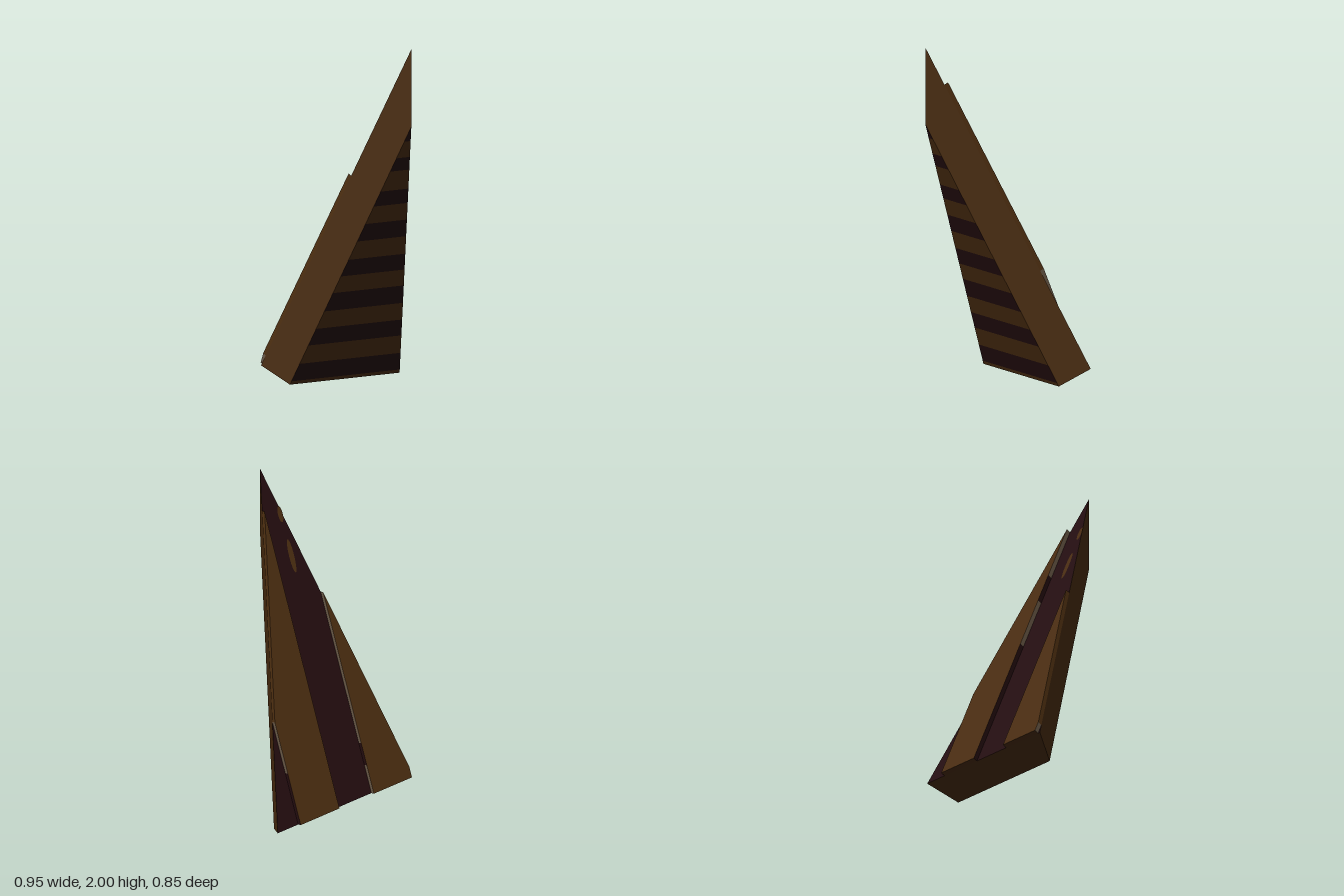
import * as THREE from 'three';

const mat = (name, color) => {
  const m = new THREE.MeshStandardMaterial({ color });
  m.name = name;
  return m;
};

// Flat faces from loops of corners, each loop anticlockwise seen from outside
function faces(name, material, loops) {
  const pos = [];
  for (const loop of loops) {
    for (let i = 1; i < loop.length - 1; i++) pos.push(...loop[0], ...loop[i], ...loop[i + 1]);
  }
  const geo = new THREE.BufferGeometry();
  geo.setAttribute('position', new THREE.Float32BufferAttribute(pos, 3));
  geo.computeVertexNormals();
  const mesh = new THREE.Mesh(geo, material);
  mesh.name = name;
  return mesh;
}

// Point on the sloping back: x across, t from base (0) to tip (1), h above the surface
const HALF = 0.475;
const onBack = (x, t, h = 0) => [x, 0.1 + 1.9 * t + 0.398 * h, -0.4 + 0.825 * t - 0.917 * h];
const edgeT = (x) => 1 - Math.abs(x) / HALF;

// Point on the sloping front at height y, side -1 or 1
const onFront = (side, y) => [side * 0.385 * (1 - y / 1.55), y, -0.24 + 0.665 * (y / 1.55)];

export function createModel() {
  const model = new THREE.Group();
  model.name = 'leaningWedge';
  const brown = mat('brown', 0x4b2d10);
  const dark = mat('darkMaroon', 0x240c0f);
  const grey = mat('greyBrown', 0x6b5a48);

  // Slab body
  const L = onBack(-HALF, 0), R = onBack(HALF, 0), tip = onBack(0, 1);
  const fl = onFront(-1, 0), fr = onFront(1, 0), frontTip = onFront(0, 1.55);
  model.add(faces('backPanel', dark, [[L, tip, R]]));
  model.add(faces('slabSides', brown, [
    [R, tip, frontTip, fr],
    [fl, frontTip, tip, L],
    [R, fr, fl, L],
  ]));

  // Cross bands on the front
  const levels = [0, 0.02, 0.125, 0.235, 0.335, 0.44, 0.55, 0.65, 0.75, 0.86, 0.965, 1.07, 1.16, 1.28, 1.36, 1.46, 1.55];
  const bands = [[], []];
  for (let i = 0; i < levels.length - 1; i++) {
    const [a, b] = [levels[i], levels[i + 1]];
    bands[i % 2].push([onFront(-1, a), onFront(1, a), onFront(1, b), onFront(-1, b)]);
  }
  model.add(faces('brownBands', brown, bands[0]), faces('darkBands', dark, bands[1]));

  // Raised planks on the back; the cut sides change colour at the given fractions
  const H = 0.027;
  function plank(name, x0, x1, cuts0, cuts1) {
    const group = new THREE.Group();
    group.name = name;
    const t0 = edgeT(x0), t1 = edgeT(x1);
    const outline = [[x0, 0], [x0, t0], [x1, t1], [x1, 0]];
    const wall = (a, b) => [onBack(...b, H), onBack(...a, H), onBack(...a), onBack(...b)];
    group.add(faces('plankBoard', brown, [
      outline.map((p) => onBack(...p, H)),
      wall(outline[1], outline[2]),
      wall(outline[3], outline[0]),
    ]));
    const sides = { dark: [], grey: [] };
    const cutSide = (x, top, cuts, up) => {
      for (let i = 0; i < cuts.length - 1; i++) {
        const a = [x, top * cuts[i]], b = [x, top * cuts[i + 1]];
        // Counting down from the top, the pieces go grey, dark, grey
        const shade = (cuts.length - 2 - i) % 2 ? 'dark' : 'grey';
        sides[shade].push(up ? wall(a, b) : wall(b, a));
      }
    };
    cutSide(x0, t0, cuts0, true);
    cutSide(x1, t1, cuts1, false);
    group.add(faces('darkSide', dark, sides.dark), faces('greySide', grey, sides.grey));
    model.add(group);
  }
  plank('rightPlank', -0.46, -0.19, [0, 1], [0, 0.14, 0.25, 1]);
  plank('leftPlank', 0.055, 0.33, [0, 0.5, 0.69, 0.8, 1], [0, 0.5, 1]);

  // Small brown spots near the tip
  const spot = (x, t, rx, rt) => Array.from({ length: 14 }, (_, i) => {
    const a = (-i / 14) * Math.PI * 2;
    return onBack(x + rx * Math.cos(a), t + rt * Math.sin(a), 0.003);
  });
  model.add(faces('spots', brown, [spot(-0.06, 0.73, 0.017, 0.05), spot(-0.055, 0.855, 0.016, 0.024)]));

  return model;
}
